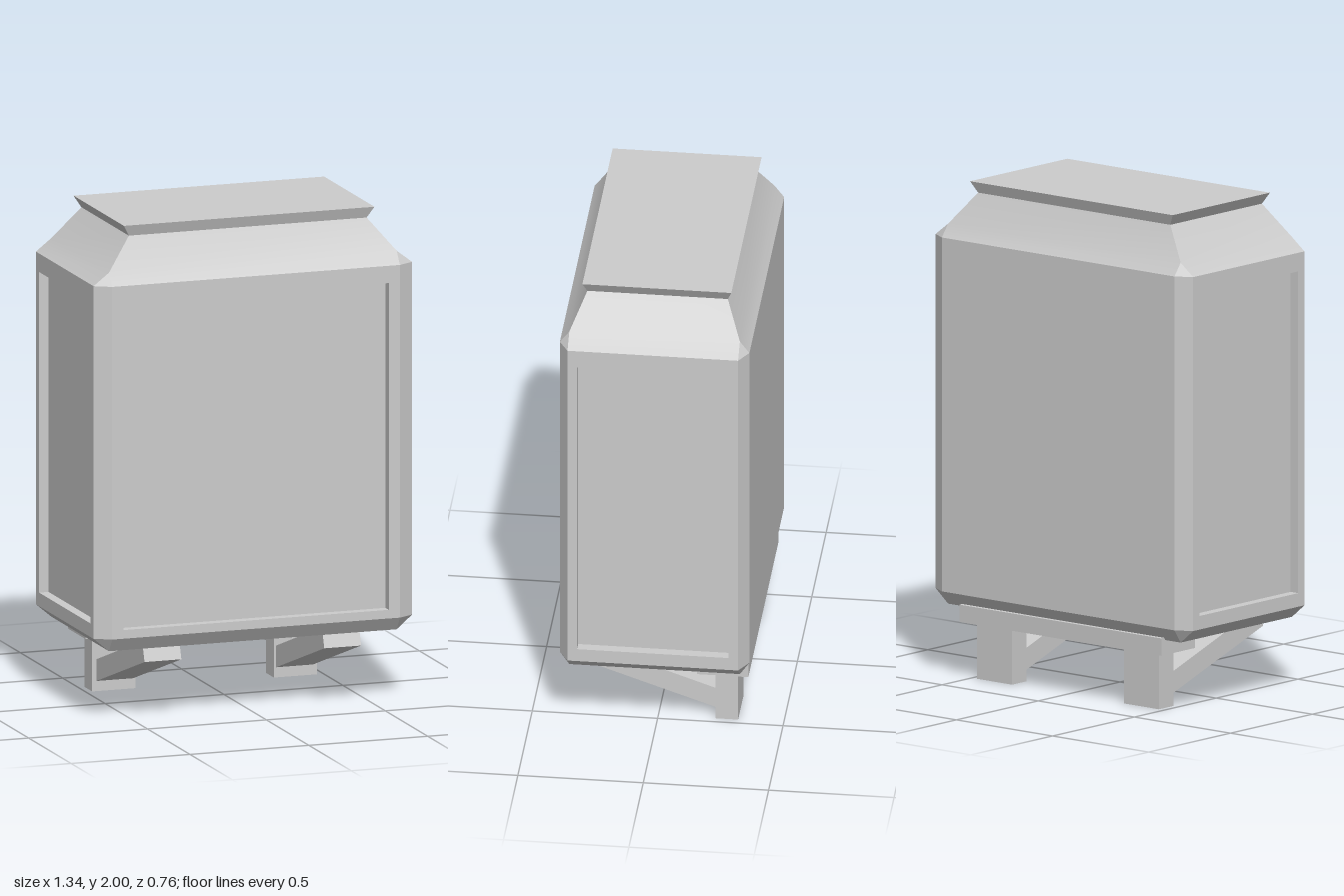
import * as THREE from 'three';
import { toCreasedNormals } from 'three/addons/utils/BufferGeometryUtils.js';

const material = new THREE.MeshStandardMaterial({ color: 0xcccccc });

// Collects quads (corners anticlockwise seen from outside), dropping collapsed triangles
function surface(quads) {
  const points = [];
  for (const [a, b, c, d] of quads) {
    for (const t of [[a, b, c], [a, c, d]]) {
      const area = new THREE.Triangle(...t).getArea();
      if (area > 1e-7) t.forEach((p) => points.push(p.x, p.y, p.z));
    }
  }
  const geometry = new THREE.BufferGeometry();
  geometry.setAttribute('position', new THREE.Float32BufferAttribute(points, 3));
  return toCreasedNormals(geometry, 0.35);
}

// Rectangle with chamfered corners; equal outer and inner sizes give sharp corners.
// Side order: 0 front, 2 left (+x), 4 back, 6 right; odd sides are chamfers
function ring(y, x, z, innerX = x, innerZ = z) {
  return [
    [-innerX, z], [innerX, z], [x, innerZ], [x, -innerZ],
    [innerX, -z], [-innerX, -z], [-x, -innerZ], [-x, innerZ],
  ].map(([px, pz]) => new THREE.Vector3(px, y, pz));
}

// Outer casing: bottom bevel, walls, shoulder, neck and flared lid
function casingGeometry() {
  const rings = [
    ring(0.29, 0.605, 0.34),
    ring(0.345, 0.67, 0.378, 0.605, 0.34),
    ring(1.775, 0.67, 0.378, 0.605, 0.34),
    ring(1.825, 0.605, 0.34),
    ring(1.955, 0.5, 0.28),
    ring(2, 0.527, 0.297),
  ];
  const quads = [];
  for (let i = 0; i < rings.length - 1; i++) {
    for (let j = 0; j < 8; j++) {
      if (i === 1 && [0, 2, 6].includes(j)) continue; // openings for the framed panels
      const k = (j + 1) % 8;
      quads.push([rings[i][j], rings[i][k], rings[i + 1][k], rings[i + 1][j]]);
    }
  }
  const bottom = rings[0], top = rings[rings.length - 1];
  quads.push([bottom[5], bottom[4], bottom[1], bottom[0]]);
  quads.push([top[0], top[1], top[4], top[5]]);
  return surface(quads);
}

// Flat frame around a sunken panel, facing +z
function panelGeometry(halfWidth, innerHalf, innerBottom, innerTop, depth) {
  const rect = (w, y0, y1, z) =>
    [[-w, y0], [w, y0], [w, y1], [-w, y1]].map(([x, y]) => new THREE.Vector3(x, y, z));
  const loops = [
    rect(halfWidth, 0.345, 1.775, 0),
    rect(innerHalf, innerBottom, innerTop, 0),
    rect(innerHalf, innerBottom, innerTop, -depth),
  ];
  const quads = [loops[2]];
  for (let i = 0; i < 2; i++) {
    for (let j = 0; j < 4; j++) {
      const k = (j + 1) % 4;
      quads.push([loops[i][j], loops[i][k], loops[i + 1][k], loops[i + 1][j]]);
    }
  }
  return surface(quads);
}

// Slanted strut: side profile in (z, y), extruded across x
function strutGeometry(width) {
  const profile = new THREE.Shape(
    [[0.34, 0.235], [0.312, 0.315], [-0.24, 0.125], [-0.24, 0.037]].map(([z, y]) => new THREE.Vector2(-z, y))
  );
  const geometry = new THREE.ExtrudeGeometry(profile, { depth: width, bevelEnabled: false });
  return geometry.translate(0, 0, -width / 2).rotateY(Math.PI / 2);
}

export function createModel() {
  const model = new THREE.Group();
  model.name = 'cabinet';
  const add = (name, geometry, x = 0, y = 0, z = 0) => {
    const mesh = new THREE.Mesh(geometry, material);
    mesh.name = name;
    mesh.position.set(x, y, z);
    model.add(mesh);
    return mesh;
  };

  add('casing', casingGeometry());
  add('frontPanel', panelGeometry(0.605, 0.558, 0.38, 1.705, 0.04), 0, 0, 0.378);

  // Rear cross bar under the casing
  add('crossBar', new THREE.BoxGeometry(1.05, 0.07, 0.205), 0, 0.265, -0.262);

  for (const [side, s] of [['left', 1], ['right', -1]]) {
    const panel = add(side + 'Panel', panelGeometry(0.34, 0.302, 0.4, 1.7, 0.04), s * 0.67);
    panel.rotation.y = (s * Math.PI) / 2;
    add(side + 'Leg', new THREE.BoxGeometry(0.182, 0.24, 0.09), s * 0.382, 0.12, -0.273);
    add(side + 'Strut', strutGeometry(0.155), s * 0.378);
  }
  return model;
}
